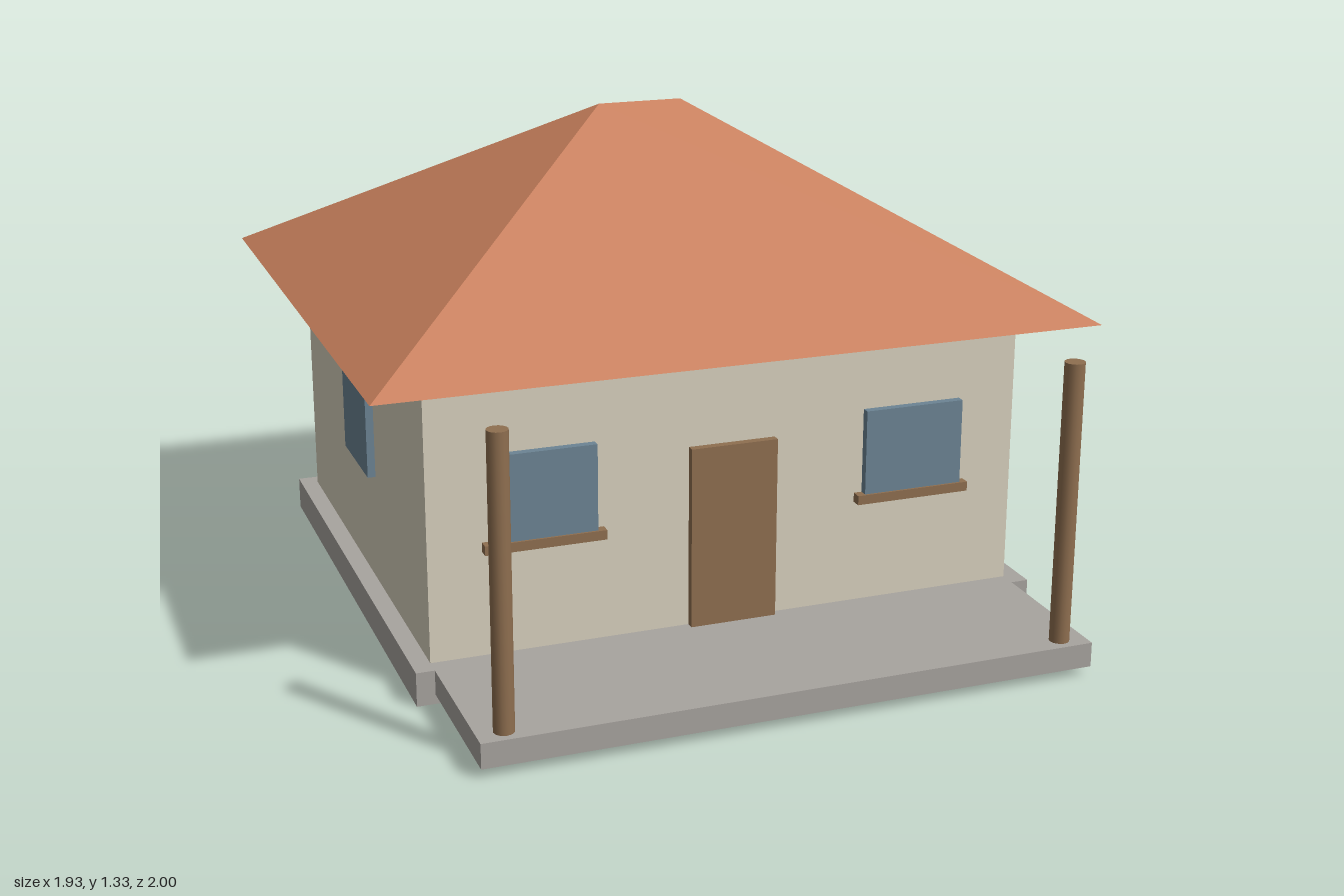
import * as THREE from 'three';
import { ConvexGeometry } from 'three/addons/geometries/ConvexGeometry.js';

const material = (color) => new THREE.MeshStandardMaterial({ color });

export function createModel() {
  const house = new THREE.Group();
  house.name = 'house';

  const stone = material(0xa8a49f);
  const plaster = material(0xd8d1be);
  const tile = material(0xc87f5c);
  const wood = material(0x8f6f50);
  const glass = material(0x6c8494);

  const add = (name, geometry, mat) => {
    const mesh = new THREE.Mesh(geometry, mat);
    mesh.name = name;
    house.add(mesh);
    return mesh;
  };
  // Box given by its extents along each axis
  const box = (name, mat, [x0, x1], [y0, y1], [z0, z1]) =>
    add(name, new THREE.BoxGeometry(x1 - x0, y1 - y0, z1 - z0), mat)
      .position.set((x0 + x1) / 2, (y0 + y1) / 2, (z0 + z1) / 2);

  // Plinth, porch slab and walls
  const floor = 0.09, eaves = 0.83, wallFront = 0.54;
  box('foundation', stone, [-0.85, 0.85], [0, floor], [-0.88, 0.585]);
  box('porchSlab', stone, [-0.802, 0.802], [0.025, floor], [0.585, 1]);
  box('walls', plaster, [-0.802, 0.802], [floor, eaves], [-0.835, wallFront]);

  // Hipped roof with a short ridge
  const roofPoints = [];
  for (const s of [-1, 1]) {
    roofPoints.push(
      new THREE.Vector3(s * 0.963, eaves, -1),
      new THREE.Vector3(s * 0.963, eaves, 0.7),
      new THREE.Vector3(s * 0.117, 1.33, -0.15)
    );
  }
  add('roof', new ConvexGeometry(roofPoints), tile);

  // Front door
  box('door', wood, [-0.117, 0.117], [floor, 0.575], [wallFront - 0.01, 0.562]);

  // Mirrored windows, sills and porch posts
  for (const [side, s] of [['left', 1], ['right', -1]]) {
    const mirror = (a, b) => (s > 0 ? [a, b] : [-b, -a]);
    box(side + 'FrontWindow', glass, mirror(0.367, 0.642), [0.392, 0.62], [wallFront - 0.01, 0.562]);
    box(side + 'WindowSill', wood, mirror(0.345, 0.662), [0.367, 0.392], [wallFront - 0.01, 0.568]);
    box(side + 'SideWindow', glass, mirror(0.79, 0.823), [0.392, 0.62], [-0.285, -0.008]);

    const post = new THREE.CylinderGeometry(0.026, 0.026, eaves - floor, 16);
    add(side + 'PorchPost', post, wood).position.set(s * 0.733, (eaves + floor) / 2, 0.955);
  }

  return house;
}
